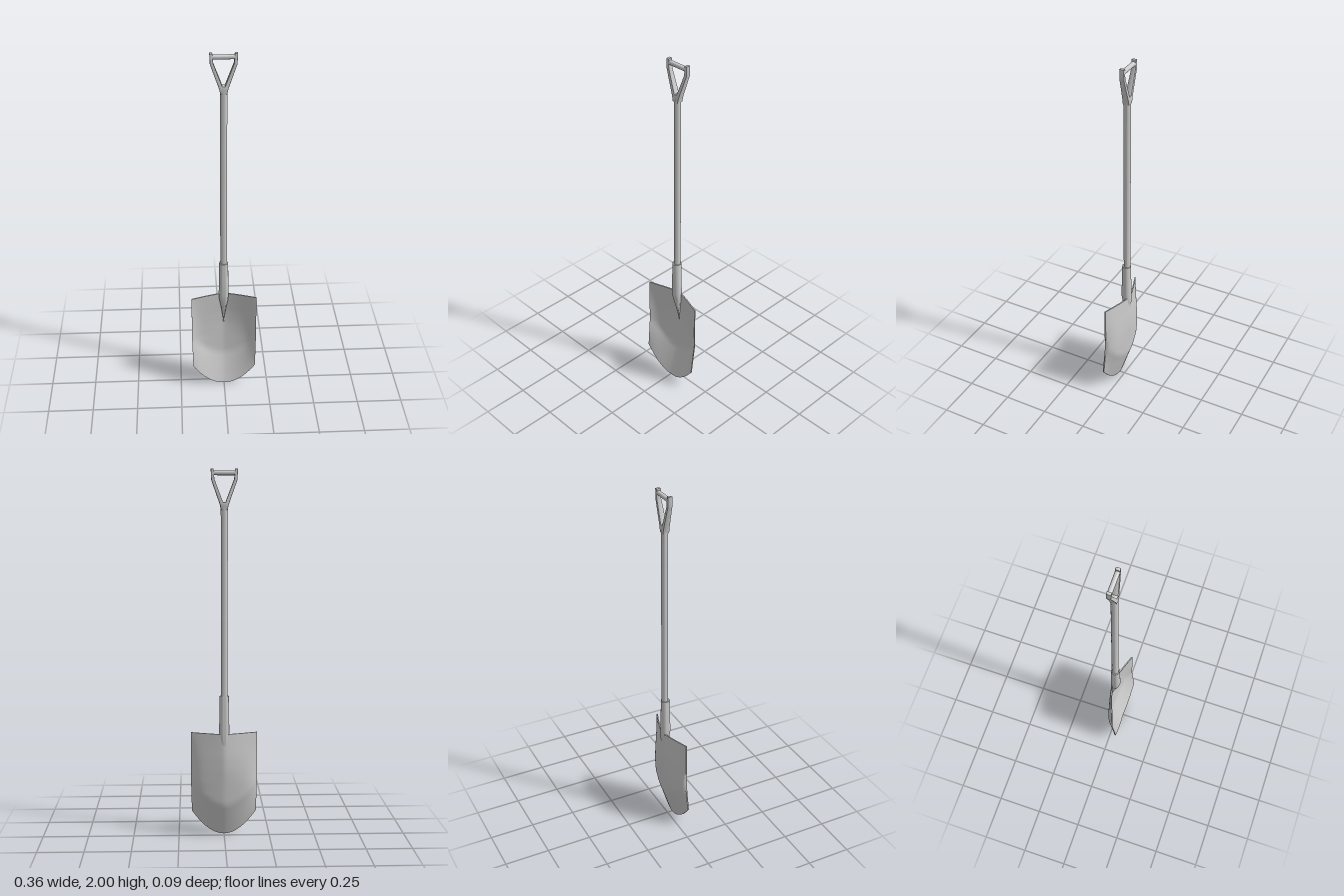
import * as THREE from 'three';
import { toCreasedNormals } from 'three/addons/utils/BufferGeometryUtils.js';

const { lerp, clamp } = THREE.MathUtils;
const AXIS_Z = -0.014; // the shaft stands slightly behind the centre
const material = new THREE.MeshStandardMaterial({ color: 0xcccccc, roughness: 0.7 });

function add(parent, name, geometry, crease = 0.6) {
  const mesh = new THREE.Mesh(toCreasedNormals(geometry, crease), material);
  mesh.name = name;
  parent.add(mesh);
  return mesh;
}

// Depth of the dished sheet: u runs across (-1..1), y is height
function sheetZ(u, y) {
  const a = Math.abs(u);
  const spine = lerp(-0.027, -0.039, clamp((y - 0.18) / 0.2, 0, 1))
    + 0.008 * clamp((y - 0.45) / 0.13, 0, 1);
  const low = 0.5 * a ** 1.3 + 0.5 * a ** 6;
  const dish = lerp(low, a ** 1.2, clamp((y - 0.31) / 0.27, 0, 1));
  const body = lerp(spine, 0.026, dish);
  // The tip sweeps forward to the cutting edge
  const rise = clamp((y - 0.13 * u * u) / 0.18, 0, 1);
  return lerp(0.032 + 0.012 * a, body, rise);
}

// Closed sheet: one loop of front and back points per row, plus the rims
function bladeGeometry() {
  const n = 28, rows = 26, half = 0.0035, ring = 2 * (n + 1);
  const pos = [], index = [];
  for (let j = 0; j <= rows; j++) {
    for (let k = 0; k < ring; k++) {
      const front = k <= n;
      const u = ((front ? k : ring - 1 - k) / n) * 2 - 1;
      const y = lerp(0.13 * u * u, 0.58, j / rows);
      const width = lerp(0.177, 0.182, clamp((y - 0.1) / 0.2, 0, 1));
      pos.push(u * width, y, sheetZ(u, y) + (front ? half : -half));
    }
  }
  for (let j = 0; j < rows; j++) {
    for (let k = 0; k < ring; k++) {
      const a = j * ring + k, b = j * ring + (k + 1) % ring;
      index.push(a, b, b + ring, a, b + ring, a + ring);
    }
  }
  const top = rows * ring;
  for (let i = 0; i < n; i++) {
    const [a, b, c, d] = [i, i + 1, ring - 2 - i, ring - 1 - i];
    index.push(top + a, top + b, top + c, top + a, top + c, top + d);
    index.push(a, c, b, a, d, c);
  }
  const geo = new THREE.BufferGeometry();
  geo.setAttribute('position', new THREE.Float32BufferAttribute(pos, 3));
  geo.setIndex(index);
  return geo;
}

// Socket: a sleeve whose lower end tapers and leans back into the blade
function socketGeometry() {
  const profile = [[0.001, 0.38], [0.007, 0.44], [0.016, 0.5], [0.025, 0.55], [0.028, 0.59],
    [0.026, 0.7], [0.0245, 0.79], [0.018, 0.79]];
  const geo = new THREE.LatheGeometry(profile.map(([r, y]) => new THREE.Vector2(r, y)), 24);
  const p = geo.attributes.position;
  for (let i = 0; i < p.count; i++) {
    const drop = Math.max(0, 0.58 - p.getY(i));
    p.setZ(i, p.getZ(i) - drop * 0.1);
  }
  return geo;
}

// Forked handle yoke, thinner front to back towards the grip
function yokeGeometry() {
  const b = 0.003;
  const side = [[0.015, 1.79], [0.02, 1.815], [0.066, 1.945], [0.068, 1.997],
    [0.059, 1.997], [0.055, 1.947], [0.009, 1.825]];
  const outline = [...side, ...side.map(([x, y]) => [-x, y]).reverse()];
  const shape = new THREE.Shape(outline.map(([x, y]) => new THREE.Vector2(x, y)));
  const geo = new THREE.ExtrudeGeometry(shape, {
    depth: 0.03, bevelEnabled: true, bevelSize: b, bevelThickness: b, bevelSegments: 2,
  });
  geo.translate(0, 0, -0.015);
  const p = geo.attributes.position;
  for (let i = 0; i < p.count; i++) {
    const t = clamp((p.getY(i) - 1.8) / 0.14, 0, 1);
    p.setZ(i, p.getZ(i) * lerp(1, 0.7, t) - 0.004 * t);
  }
  return geo;
}

export function createModel() {
  const shovel = new THREE.Group();
  shovel.name = 'shovel';

  add(shovel, 'blade', bladeGeometry(), 0.8);
  add(shovel, 'socket', socketGeometry()).position.z = AXIS_Z + 0.001;

  // Wooden shaft
  const shaft = add(shovel, 'shaft', new THREE.CylinderGeometry(0.0185, 0.0185, 1.23, 20));
  shaft.position.set(0, 1.185, AXIS_Z - 0.002);

  // Handle
  const handle = new THREE.Group();
  handle.name = 'handle';
  handle.position.z = AXIS_Z - 0.002;
  shovel.add(handle);
  add(handle, 'yoke', yokeGeometry());
  const grip = add(handle, 'grip', new THREE.CylinderGeometry(0.0125, 0.0125, 0.122, 18));
  grip.rotation.z = Math.PI / 2;
  grip.position.set(0, 1.979, -0.004);

  return shovel;
}
